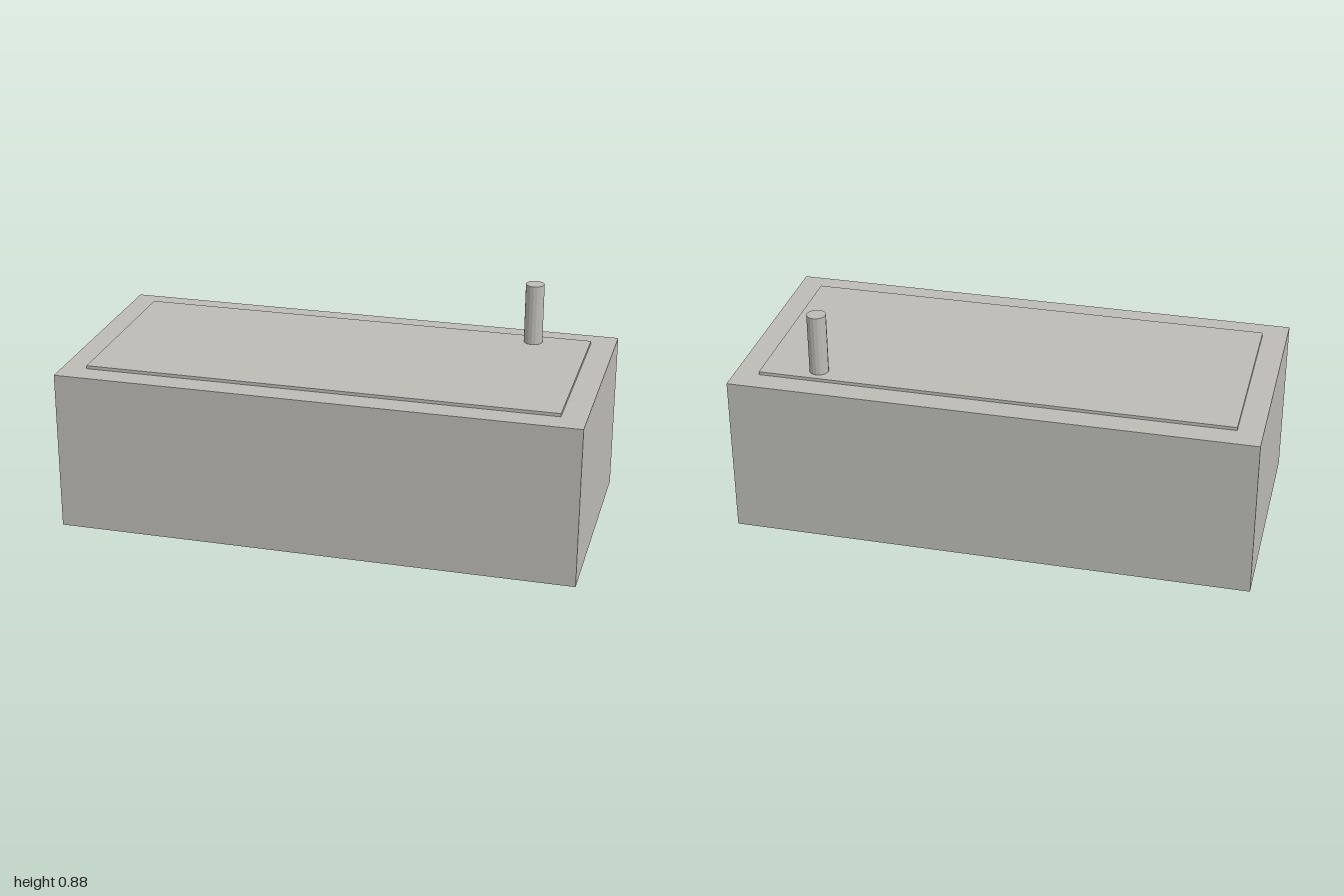
import * as THREE from 'three';

export function createModel() {
  const group = new THREE.Group();
  const concrete = new THREE.MeshStandardMaterial({ color: 0xbdbcb6, flatShading: true });
  concrete.name = 'pale grey concrete';

  const add = (name, geometry, x, y, z) => {
    const mesh = new THREE.Mesh(geometry, concrete);
    mesh.name = name;
    mesh.position.set(x, y, z);
    group.add(mesh);
  };

  const bodyTop = 0.625, slabHeight = 0.0125, chimneyTop = 0.875;
  const roofTop = bodyTop + slabHeight;
  const chimneyHeight = chimneyTop - roofTop;

  // Main block
  add('body', new THREE.BoxGeometry(2, bodyTop, 0.935), 0, bodyTop / 2, 0);
  // Thin raised roof panel, inset from the edges
  add('roofSlab', new THREE.BoxGeometry(1.81, slabHeight, 0.748), 0, bodyTop + slabHeight / 2, 0);
  // Round chimney near the back left corner
  add('chimney', new THREE.CylinderGeometry(0.0365, 0.0365, chimneyHeight, 16),
    0.6865, roofTop + chimneyHeight / 2, -0.3125);

  return group;
}
